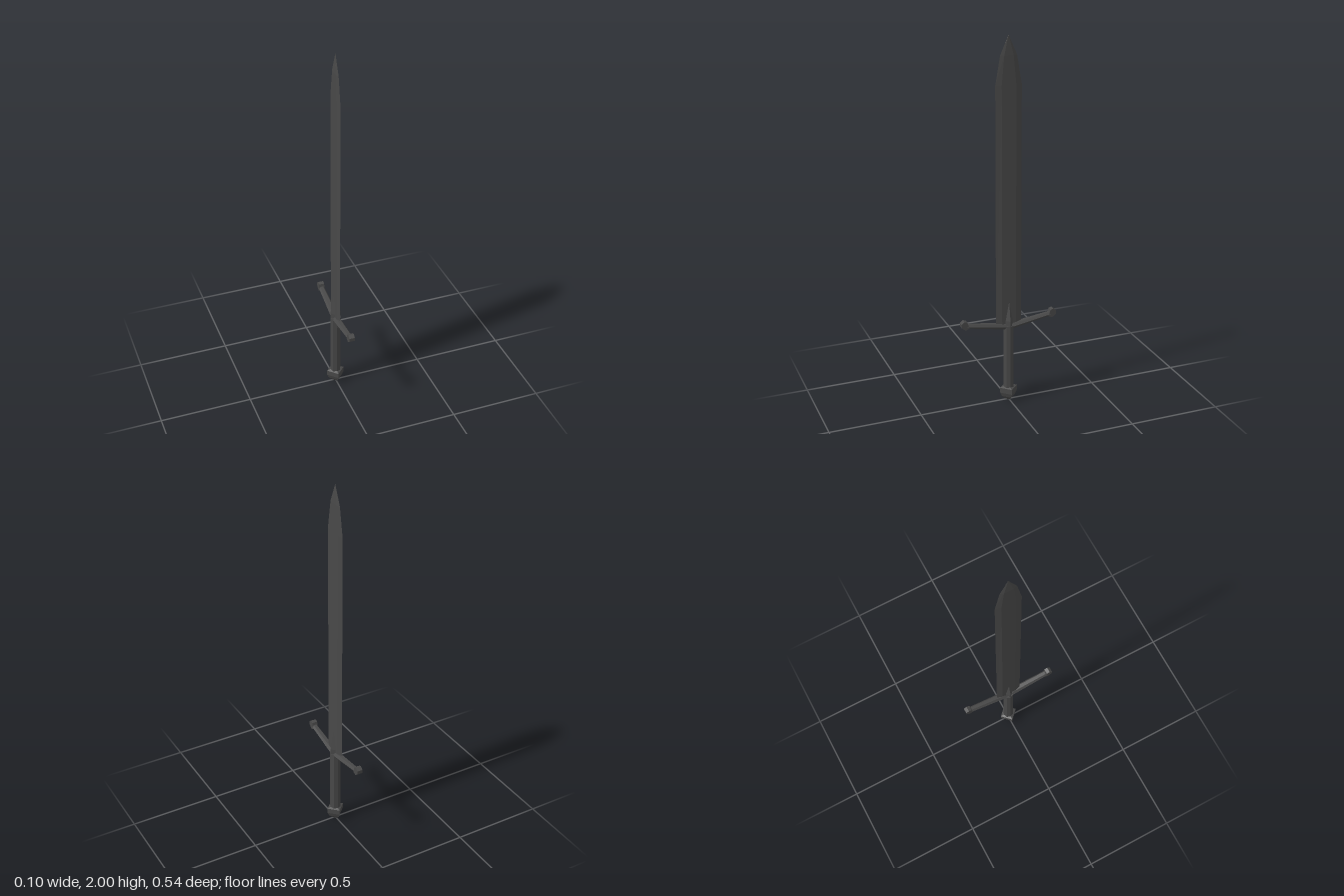
import * as THREE from 'three';

const steel = new THREE.MeshStandardMaterial({ color: 0x484848, flatShading: true });
steel.name = 'dark steel';

// Joins rings of points (same count each, counter-clockwise seen from the far end) and caps both ends
function loft(name, rings) {
  const n = rings[0].length, index = [];
  for (let r = 0; r < rings.length - 1; r++) {
    for (let i = 0; i < n; i++) {
      const a = r * n + i, b = r * n + (i + 1) % n;
      index.push(a, b, b + n, a, b + n, a + n);
    }
  }
  const last = (rings.length - 1) * n;
  for (let i = 1; i < n - 1; i++) {
    index.push(0, i + 1, i, last, last + i, last + i + 1);
  }
  const indexed = new THREE.BufferGeometry();
  indexed.setAttribute('position', new THREE.Float32BufferAttribute(rings.flat(2), 3));
  indexed.setIndex(index);
  const geometry = indexed.toNonIndexed();
  geometry.computeVertexNormals();
  const mesh = new THREE.Mesh(geometry, steel);
  mesh.name = name;
  return mesh;
}

// Faceted turned part, with corners on the x and z axes
function turned(name, profile, sides) {
  const points = profile.map(([r, y]) => new THREE.Vector2(r, y));
  const mesh = new THREE.Mesh(new THREE.LatheGeometry(points, sides), steel);
  mesh.name = name;
  return mesh;
}

// Blade: flattened hexagon narrowing to the point
function blade() {
  const sections = [[0.43, 0.072, 0.009], [1.75, 0.071, 0.007], [1.9, 0.045, 0.006], [2, 0.001, 0.0005]];
  return loft('blade', sections.map(([y, w, t]) => [
    [0, y, w], [t, y, w * 0.55], [t, y, -w * 0.55],
    [0, y, -w], [-t, y, -w * 0.55], [-t, y, w * 0.55],
  ]));
}

// One guard arm rising towards +z, with its flared end block
function guardArm() {
  const arm = new THREE.Group();
  const ring = (z, y, w, h) => [
    [w, y, z], [w * 0.5, y + h, z], [-w * 0.5, y + h, z],
    [-w, y, z], [-w * 0.5, y - h, z], [w * 0.5, y - h, z],
  ];
  arm.add(loft('guardBar', [ring(0, 0.433, 0.021, 0.016), ring(0.235, 0.472, 0.016, 0.011)]));

  // Profile lies in the z-y plane and is extruded across x
  const outline = [[0.225, 0.462], [0.245, 0.452], [0.267, 0.47], [0.268, 0.49], [0.252, 0.503], [0.235, 0.497]];
  const shape = new THREE.Shape(outline.map(([z, y]) => new THREE.Vector2(-z, y)));
  const end = new THREE.ExtrudeGeometry(shape, { depth: 0.03, bevelEnabled: false });
  end.translate(0, 0, -0.015).rotateY(Math.PI / 2);
  const block = new THREE.Mesh(end, steel);
  block.name = 'guardEnd';
  arm.add(block);
  return arm;
}

export function createModel() {
  const sword = new THREE.Group();
  sword.name = 'sword';
  sword.add(blade());

  // Four-sided spike over the root of the blade
  sword.add(turned('bladeCollar', [[0, 0.42], [0.029, 0.43], [0.029, 0.47], [0.003, 0.61], [0, 0.612]], 4));

  // Grip and square pommel
  sword.add(turned('grip', [[0.029, 0.06], [0.029, 0.44], [0, 0.44]], 8));
  sword.add(turned('pommel', [
    [0, 0], [0.018, 0.003], [0.038, 0.022], [0.049, 0.045], [0.049, 0.074], [0.03, 0.08], [0, 0.08],
  ], 4));

  // Guard, turned very slightly about the grip
  const guard = new THREE.Group();
  guard.name = 'guard';
  for (const turn of [0, Math.PI]) {
    const arm = guardArm();
    arm.name = turn ? 'backGuardArm' : 'frontGuardArm';
    arm.rotation.y = turn - 0.02;
    guard.add(arm);
  }
  sword.add(guard);
  return sword;
}
